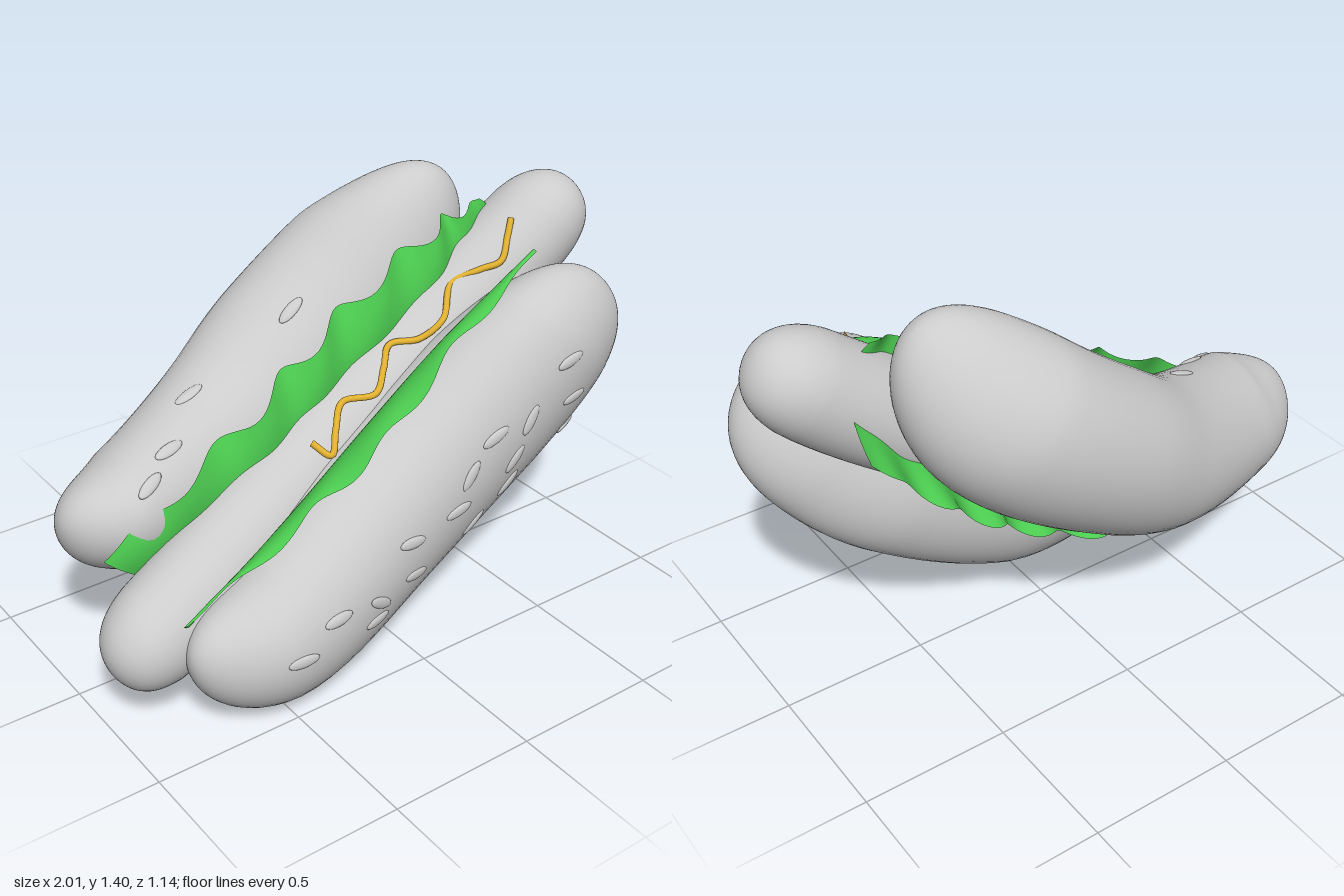
import * as THREE from 'three';

const V = (p) => new THREE.Vector3(...p);
const curve = (pts) => new THREE.CatmullRomCurve3(pts.map(V));
const grey = new THREE.MeshStandardMaterial({ color: 0xcccccc });
const green = new THREE.MeshStandardMaterial({ color: 0x4ccc50, side: THREE.DoubleSide });
const yellow = new THREE.MeshStandardMaterial({ color: 0xe0b030 });

function build(name, positions, index, material) {
  const g = new THREE.BufferGeometry();
  g.setAttribute('position', new THREE.Float32BufferAttribute(positions, 3));
  g.setIndex(index);
  g.computeVertexNormals();
  const mesh = new THREE.Mesh(g, material);
  mesh.name = name;
  return mesh;
}

// Rounded loaf: oval sections [half height, half depth, lean] along a spine.
function loaf(name, spinePts, sizes) {
  const spine = curve(spinePts), size = curve(sizes);
  const N = 64, M = 48, pos = [], idx = [];
  for (let i = 0; i <= N; i++) {
    const t = (1 - Math.cos((Math.PI * i) / N)) / 2;
    const c = spine.getPoint(t), s = size.getPoint(t), d = spine.getTangent(t);
    const cap = Math.sqrt(Math.max(0, 1 - Math.abs(2 * t - 1) ** 5)) + 1e-4;
    const len = Math.hypot(d.x, d.y), nx = -d.y / len, ny = d.x / len;
    for (let j = 0; j < M; j++) {
      const a = (2 * Math.PI * j) / M, h = Math.cos(a) * s.x * cap;
      const z = (Math.sin(a) * s.y + Math.cos(a) * s.z) * cap;
      pos.push(c.x + nx * h, c.y + ny * h, c.z + z);
      if (i < N) {
        const k = (j + 1) % M, p = i * M, q = p + M;
        idx.push(p + j, p + k, q + j, p + k, q + k, q + j);
      }
    }
  }
  return build(name, pos, idx, grey);
}

// Leaf: a sheet bent through three curves, ruffled towards both long edges.
function leaf(name, rows, amp, waves) {
  const [a, b, c] = rows.map(curve), N = 120, M = 14, pos = [], idx = [];
  for (let i = 0; i <= N; i++) {
    const u = i / N, A = a.getPoint(u), B = b.getPoint(u), C = c.getPoint(u);
    for (let j = 0; j <= M; j++) {
      const v = j / M, e = (2 * v - 1) ** 2;
      const p = A.clone().multiplyScalar((1 - v) * (1 - 2 * v))
        .addScaledVector(B, 4 * v * (1 - v)).addScaledVector(C, v * (2 * v - 1));
      const w = amp * e * Math.sin(Math.PI * Math.min(1, u * 5, (1 - u) * 5) / 2);
      const ph = u * waves * 2 * Math.PI + v * 1.5;
      pos.push(p.x, p.y + 0.6 * w * Math.sin(ph), p.z + w * Math.cos(ph + 0.6));
      if (i < N && j < M) {
        const k = i * (M + 1) + j, q = k + M + 1;
        idx.push(k, k + 1, q, k + 1, q + 1, q);
      }
    }
  }
  return build(name, pos, idx, green);
}

// Sesame seed laid flat where a ray meets the bun.
function seed(bun, from, dir, angle) {
  const hit = new THREE.Raycaster(V(from), V(dir)).intersectObject(bun)[0];
  const n = hit.face.normal.clone();
  const x = new THREE.Vector3(Math.cos(angle), Math.sin(angle), 0).projectOnPlane(n).normalize();
  const m = new THREE.Mesh(new THREE.SphereGeometry(1, 16, 10), grey);
  m.name = 'sesameSeed';
  m.scale.set(0.055, 0.02, 0.009);
  m.quaternion.setFromRotationMatrix(new THREE.Matrix4().makeBasis(x, n.clone().cross(x), n));
  m.position.copy(hit.point);
  return m;
}

export function createModel() {
  const model = new THREE.Group();
  model.name = 'hotDog';

  // Bun halves
  const frontBun = loaf('frontBun',
    [[-0.81, 0.3, 0.39], [-0.5, 0.24, 0.34], [0, 0.4, 0.2], [0.45, 0.67, 0.19], [0.7, 0.88, 0.24], [0.86, 1.08, 0.28]],
    [[0.2, 0.16, 0], [0.25, 0.23, 0], [0.31, 0.275, 0.03], [0.32, 0.265, 0.04], [0.3, 0.22, 0.03], [0.26, 0.16, 0]]);
  const backBun = loaf('backBun',
    [[-0.97, 0.58, -0.09], [-0.75, 0.54, -0.12], [-0.3, 0.62, -0.25], [0, 0.79, -0.3], [0.34, 1.05, -0.29], [0.57, 1.37, -0.2]],
    [[0.17, 0.16, 0.03], [0.21, 0.22, 0.03], [0.26, 0.26, 0], [0.28, 0.27, -0.02], [0.29, 0.26, -0.02], [0.25, 0.19, 0]]);

  // Sausage
  const sausage = loaf('sausage',
    [[-1.0, 0.25, 0.22], [-0.83, 0.285, 0.2], [-0.4, 0.46, 0.1], [0, 0.65, 0.02], [0.4, 0.87, -0.02], [0.83, 1.18, 0.01], [0.96, 1.31, 0.02]],
    [[0.18, 0.175, 0], [0.18, 0.175, 0], [0.18, 0.175, 0], [0.18, 0.175, 0], [0.18, 0.175, 0]]);

  // Lettuce on both sides of the sausage
  const backLettuce = leaf('backLettuce', [
    [[-0.92, 0.52, 0.09], [-0.4, 0.8, 0.06], [0, 1.03, 0.0], [0.4, 1.23, -0.02], [0.64, 1.28, -0.06]],
    [[-0.78, 0.4, 0.07], [-0.3, 0.54, 0.05], [0.06, 0.74, 0.01], [0.45, 0.95, -0.02], [0.74, 1.17, -0.1]],
    [[-0.55, 0.22, -0.07], [-0.2, 0.32, -0.22], [0.2, 0.52, -0.27], [0.5, 0.75, -0.3], [0.78, 1.03, -0.28]],
  ], 0.03, 6.5);
  const frontLettuce = leaf('frontLettuce', [
    [[-0.8, 0.4, 0.37], [-0.4, 0.61, 0.38], [-0.1, 0.78, 0.38], [0.25, 0.98, 0.3], [0.67, 1.17, 0.2]],
    [[-0.78, 0.37, 0.34], [-0.36, 0.58, 0.27], [-0.02, 0.76, 0.21], [0.3, 0.95, 0.18], [0.67, 1.15, 0.17]],
    [[-0.6, 0.28, 0.27], [-0.2, 0.44, 0.12], [0.1, 0.56, 0.08], [0.4, 0.78, 0.08], [0.7, 1.02, 0.12]],
  ], 0.016, 4.5);

  // Mustard squiggle
  const line = curve([[-0.24, 0.76, 0.21], [-0.2, 0.725, 0.26], [-0.14, 0.77, 0.2], [-0.07, 0.82, 0.14],
    [0.03, 0.835, 0.18], [0.1, 0.885, 0.13], [0.17, 0.925, 0.07], [0.26, 0.935, 0.11], [0.34, 0.99, 0.13],
    [0.43, 1.07, 0.06], [0.52, 1.11, 0.1], [0.58, 1.135, 0.13], [0.63, 1.2, 0.1], [0.66, 1.25, 0.08]]);
  const mustard = new THREE.Mesh(new THREE.TubeGeometry(line, 140, 0.011, 10), yellow);
  mustard.name = 'mustard';

  // Sesame seeds: [x, y, degrees] on the front bun, [x, z, degrees] on the back bun
  const seeds = new THREE.Group();
  seeds.name = 'sesameSeeds';
  const front = [[-0.515, 0.257, 0], [-0.37, 0.337, 5], [-0.19, 0.31, -30], [-0.2, 0.246, 0], [-0.02, 0.326, -10],
    [-0.04, 0.455, -5], [0.16, 0.49, 10], [0.26, 0.385, 45], [0.4, 0.49, 50], [0.31, 0.706, 25], [0.45, 0.727, 60],
    [0.21, 0.6, 55], [0.4, 0.594, 55], [0.61, 0.893, 15], [0.65, 0.743, 5], [0.69, 0.594, -5]];
  const back = [[-0.72, 0.04, 40], [-0.61, -0.03, 25], [-0.45, -0.17, 40], [-0.06, -0.16, 40]];
  seeds.add(
    ...front.map(([x, y, d]) => seed(frontBun, [x, y, 3], [0, 0, -1], (d * Math.PI) / 180)),
    ...back.map(([x, z, d]) => seed(backBun, [x, 3, z], [0, -1, 0], (d * Math.PI) / 180)),
  );

  model.add(frontBun, backBun, sausage, backLettuce, frontLettuce, mustard, seeds);
  return model;
}
